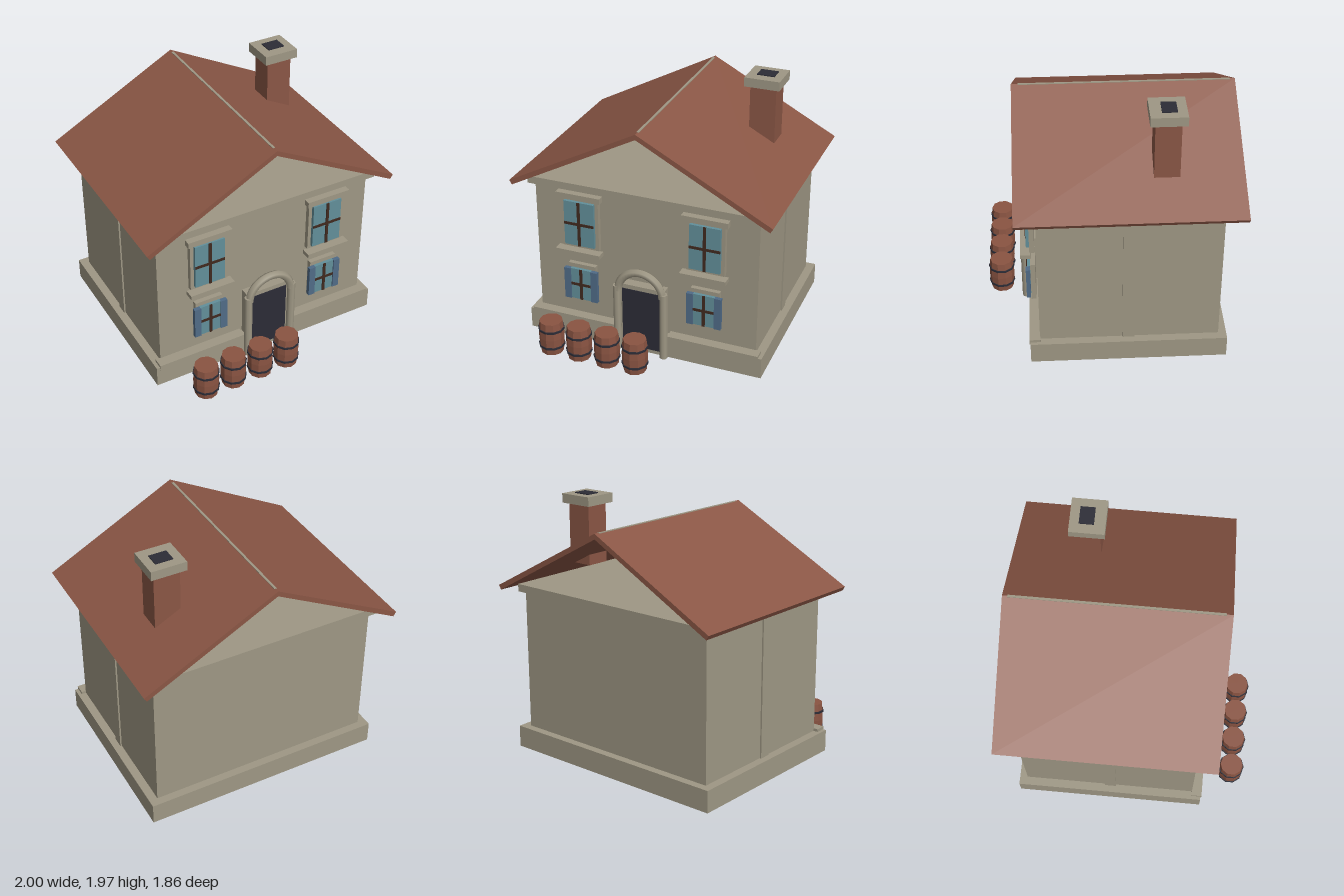
import * as THREE from 'three';

const mat = (name, color, side = THREE.FrontSide) => {
  const m = new THREE.MeshStandardMaterial({ color, side });
  m.name = name;
  return m;
};

export function createModel() {
  const house = new THREE.Group();
  house.name = 'house';

  const stone = mat('stone', 0x9e9784);
  const tile = mat('roofTile', 0x8a5645);
  const wood = mat('barrelWood', 0x8a5442);
  const glass = mat('glass', 0x628f9a);
  const blue = mat('shutterBlue', 0x506b87);
  const dark = mat('darkIron', 0x2c2c36);
  const bar = mat('windowBar', 0x40291f);

  const add = (parent, name, geometry, material) => {
    const mesh = new THREE.Mesh(geometry, material);
    mesh.name = name;
    parent.add(mesh);
    return mesh;
  };
  // Box given by its limits on each axis
  const box = (parent, name, material, x0, x1, y0, y1, z0, z1) => {
    const mesh = add(parent, name, new THREE.BoxGeometry(x1 - x0, y1 - y0, z1 - z0), material);
    mesh.position.set((x0 + x1) / 2, (y0 + y1) / 2, (z0 + z1) / 2);
    return mesh;
  };

  // Main body
  box(house, 'base', stone, -0.932, 0.932, 0, 0.166, -0.845, 0.6);
  box(house, 'walls', stone, -0.868, 0.868, 0.166, 1.245, -0.785, 0.53);
  box(house, 'cornice', stone, -0.912, 0.912, 1.24, 1.297, -0.82, 0.57);

  for (const s of [-1, 1]) {
    const name = s > 0 ? 'left' : 'right';
    // Ledge above the base, broken by the doorway
    const ledge = box(house, name + 'Ledge', stone, 0.2, 0.905, 0.145, 0.187, 0.525, 0.608);
    ledge.position.x *= s;
    // Pilaster on the side wall
    const pilaster = box(house, name + 'Pilaster', stone, 0.86, 0.88, 0.166, 1.245, -0.165, -0.075);
    pilaster.position.x *= s;

    // Roof slope, open gable below it
    const pts = [[0, 1.825], [1, 1.297], [0.98, 1.264], [0, 1.785]];
    const shape = new THREE.Shape(pts.map(([x, y]) => new THREE.Vector2(s * x, y)));
    const slope = new THREE.ExtrudeGeometry(shape, { depth: 1.61, bevelEnabled: false });
    slope.translate(0, 0, -0.93);
    add(house, name + 'RoofSlope', slope, tile);
  }
  box(house, 'ridgeStrip', stone, -0.009, 0.009, 1.815, 1.825, -0.893, 0.633);

  // Chimney
  const chimney = new THREE.Group();
  chimney.name = 'chimney';
  house.add(chimney);
  box(chimney, 'chimneyStack', tile, 0.497, 0.695, 1.44, 1.9, -0.477, -0.295);
  box(chimney, 'chimneyCap', stone, 0.46, 0.728, 1.89, 1.96, -0.515, -0.258);
  box(chimney, 'chimneyFlue', dark, 0.53, 0.663, 1.96, 1.967, -0.447, -0.34);

  // Glass pane with crossed bars, centred on x = 0
  const pane = (g, half, y0, y1) => {
    const mid = (y0 + y1) / 2;
    box(g, 'glass', glass, -half, half, y0, y1, 0.585, 0.61);
    box(g, 'verticalBar', bar, -0.011, 0.011, y0, y1, 0.609, 0.617);
    box(g, 'horizontalBar', bar, -half, half, mid - 0.01, mid + 0.01, 0.609, 0.616);
  };
  const upperWindow = () => {
    const g = new THREE.Group();
    g.name = 'upperWindow';
    box(g, 'frame', stone, -0.145, 0.145, 0.785, 1.21, 0.55, 0.586);
    box(g, 'lintel', stone, -0.174, 0.174, 1.195, 1.24, 0.57, 0.622);
    box(g, 'sill', stone, -0.176, 0.176, 0.756, 0.788, 0.58, 0.653);
    pane(g, 0.118, 0.815, 1.173);
    return g;
  };
  const lowerWindow = () => {
    const g = new THREE.Group();
    g.name = 'lowerWindow';
    box(g, 'frame', stone, -0.11, 0.11, 0.32, 0.642, 0.55, 0.586);
    pane(g, 0.083, 0.352, 0.61);
    for (const s of [-1, 1]) {
      const shutter = box(g, 'shutter', blue, 0.081, 0.133, 0.352, 0.61, 0.588, 0.619);
      shutter.position.x *= s;
    }
    return g;
  };
  for (const x of [-0.487, 0.487]) {
    for (const make of [upperWindow, lowerWindow]) {
      const g = make();
      g.position.x = x;
      house.add(g);
    }
  }

  // Doorway with round posts and an arch
  const doorway = new THREE.Group();
  doorway.name = 'doorway';
  house.add(doorway);
  box(doorway, 'doorSurround', stone, -0.18, 0.18, 0.03, 0.565, 0.52, 0.604);
  box(doorway, 'door', dark, -0.155, 0.155, 0.035, 0.53, 0.6, 0.609);
  for (const x of [-0.184, 0.184]) {
    add(doorway, 'doorPost', new THREE.CylinderGeometry(0.031, 0.031, 0.55, 8), stone)
      .position.set(x, 0.29, 0.634);
  }
  add(doorway, 'doorArch', new THREE.TorusGeometry(0.174, 0.031, 6, 20, Math.PI), stone)
    .position.set(0, 0.528, 0.634);

  // Row of barrels
  const staves = new THREE.LatheGeometry(
    [[0, 0], [0.086, 0], [0.094, 0.07], [0.097, 0.132], [0.094, 0.2], [0.087, 0.265], [0, 0.265]]
      .map(([r, y]) => new THREE.Vector2(r, y)), 10).toNonIndexed();
  staves.computeVertexNormals();
  const hoop = new THREE.CylinderGeometry(0.1, 0.1, 0.016, 10).toNonIndexed();
  hoop.computeVertexNormals();
  for (const x of [-0.643, -0.417, -0.19, 0.035]) {
    const barrel = new THREE.Group();
    barrel.name = 'barrel';
    barrel.position.set(x, 0, 0.825);
    add(barrel, 'barrelBody', staves, wood);
    for (const y of [0.06, 0.2]) add(barrel, 'barrelHoop', hoop, dark).position.y = y;
    house.add(barrel);
  }

  return house;
}
